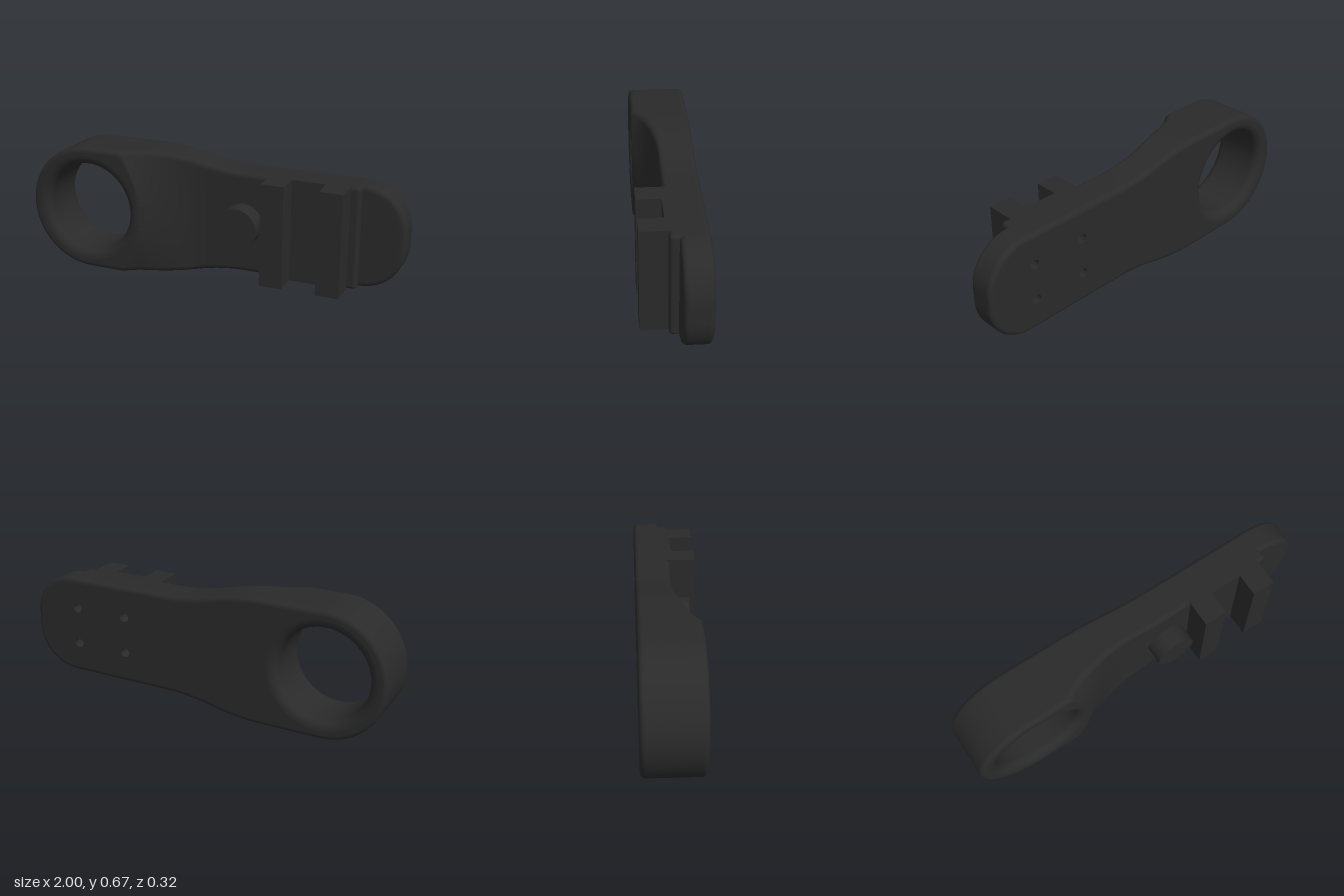
import * as THREE from 'three';
import { RoundedBoxGeometry } from 'three/addons/geometries/RoundedBoxGeometry.js';

const MID = 0.333, BACK = -0.16;
const EYE = { x: -0.667, r: 0.238, fillet: 0.05 };
const EDGE = 0.025;
const SCREWS = [0.44, 0.735].flatMap(x => [-0.1, 0.1].map(dy => [x, MID + dy]));
const clamp = THREE.MathUtils.clamp;

// Height of the front surface: thick ring, concave ramp, thin arm, thinner tip
function frontZ(x, y) {
  const dy = y - MID;
  const s = x + dy * dy * clamp((-0.1 - x) / 0.3, 0, 1);
  const v = clamp((s + 0.36) / 0.33, 0, 1);
  const tip = THREE.MathUtils.smoothstep(x, 0.45, 0.6);
  return 0.145 - 0.12 * (1 - (1 - v) ** 2) - 0.045 * tip;
}

// Evenly spaced outline points, counter-clockwise from the front
function outline(n) {
  const w = 0.266, r = 0.225, R = 0.333, cx = 1 - r;
  const p = new THREE.Path();
  p.moveTo(1, MID);
  p.lineTo(1, MID + w - r);
  p.absarc(cx, MID + w - r, r, 0, Math.PI / 2, false);
  p.lineTo(0.2, MID + w);
  p.bezierCurveTo(-0.05, MID + w, -0.1, MID + R, -0.35, MID + R);
  p.lineTo(EYE.x, MID + R);
  p.absarc(EYE.x, MID, R, Math.PI / 2, Math.PI * 1.5, false);
  p.lineTo(-0.35, MID - R);
  p.bezierCurveTo(-0.1, MID - R, -0.05, MID - w, 0.2, MID - w);
  p.lineTo(cx, MID - w);
  p.absarc(cx, MID - w + r, r, -Math.PI / 2, 0, false);
  p.lineTo(1, MID);
  return p.getSpacedPoints(n).slice(0, n);
}

// Closed loops swept from the back of the eye, over the front, to the back rim
function bodyGeometry(pts, normals) {
  const n = pts.length, loops = [], F = EYE.fillet, steps = 6, rings = 56;
  const inset = k => pts.map((p, i) => p.clone().addScaledVector(normals[i], -k));
  const inner = inset(EDGE);
  const circle = r => inner.map(p => {
    const a = Math.atan2(p.y - MID, p.x - EYE.x);
    return new THREE.Vector2(EYE.x + r * Math.cos(a), MID + r * Math.sin(a));
  });
  const add = (loop, z) => loops.push(loop.map(p => [p.x, p.y, z(p)]));
  const back = d => () => BACK + d;
  const front = d => p => frontZ(p.x, p.y) - d;
  const angle = i => (i / steps) * Math.PI / 2;
  // eye bore with rounded lips
  for (let i = 0; i <= steps; i++)
    add(circle(EYE.r + F * (1 - Math.sin(angle(i)))), back(F * (1 - Math.cos(angle(i)))));
  for (let i = steps; i >= 0; i--)
    add(circle(EYE.r + F * (1 - Math.sin(angle(i)))), front(F * (1 - Math.cos(angle(i)))));
  // front surface
  const lip = circle(EYE.r + F);
  for (let j = 1; j < rings; j++)
    add(lip.map((p, i) => p.clone().lerp(inner[i], j / rings)), front(0));
  // rounded outer edges and side wall
  for (let i = 0; i <= steps; i++)
    add(inset(EDGE * (1 - Math.sin(angle(i)))), front(EDGE * (1 - Math.cos(angle(i)))));
  for (let i = steps; i >= 0; i--)
    add(inset(EDGE * (1 - Math.sin(angle(i)))), back(EDGE * (1 - Math.cos(angle(i)))));

  const index = [];
  for (let j = 0; j < loops.length - 1; j++)
    for (let i = 0; i < n; i++) {
      const k = (i + 1) % n, a = j * n + i, b = a + n, c = (j + 1) * n + k, d = j * n + k;
      index.push(a, b, c, a, c, d);
    }
  const g = new THREE.BufferGeometry();
  g.setAttribute('position', new THREE.Float32BufferAttribute(loops.flat(2), 3));
  g.setIndex(index);
  g.computeVertexNormals();
  return { geometry: g, inner, lip };
}

export function createModel() {
  const group = new THREE.Group();
  const mat = new THREE.MeshStandardMaterial({ color: 0x2a2a2a });
  const thin = new THREE.MeshStandardMaterial({ color: 0x2a2a2a, side: THREE.DoubleSide });
  const add = (name, geometry, x, y, z, material = mat) => {
    const m = new THREE.Mesh(geometry, material);
    m.name = name;
    m.position.set(x, y, z);
    group.add(m);
    return m;
  };

  const pts = outline(320), n = pts.length;
  const normals = pts.map((_, i) => {
    const t = pts[(i + 1) % n].clone().sub(pts[(i + n - 1) % n]).normalize();
    return new THREE.Vector2(t.y, -t.x);
  });
  const { geometry, inner, lip } = bodyGeometry(pts, normals);
  add('body', geometry, 0, 0, 0);

  // Flat back, pierced by the eye and the screw holes
  const backShape = new THREE.Shape(inner);
  backShape.holes.push(new THREE.Path(lip));
  for (const [x, y] of SCREWS)
    backShape.holes.push(new THREE.Path().absarc(x, y, 0.025, 0, Math.PI * 2, true));
  add('backFace', new THREE.ShapeGeometry(backShape, 16), 0, 0, BACK, thin);

  // Blind screw holes
  const depth = 0.08;
  for (const [x, y] of SCREWS) {
    add('screwHoleWall', new THREE.CylinderGeometry(0.025, 0.025, depth, 32, 1, true),
      x, y, BACK + depth / 2, thin).rotation.x = Math.PI / 2;
    add('screwHoleFloor', new THREE.CircleGeometry(0.025, 32), x, y, BACK + depth, thin);
  }

  // Raised pad, channel floor and the two cross bars
  const box = (name, x0, x1, z0, z1) => add(name,
    new THREE.BoxGeometry(x1 - x0, 0.534, z1 - z0), (x0 + x1) / 2, MID, (z0 + z1) / 2);
  add('pad', new RoundedBoxGeometry(0.455, 0.532, 0.125, 4, 0.018), 0.5475, MID, -0.0375);
  box('channelFloor', 0.315, 0.725, 0.005, 0.037);
  box('innerBar', 0.315, 0.433, 0.005, 0.16);
  box('outerBar', 0.608, 0.727, 0.005, 0.16);

  // Round boss
  add('boss', new THREE.CylinderGeometry(0.105, 0.105, 0.12, 64), 0.173, MID, 0.063)
    .rotation.x = Math.PI / 2;

  return group;
}
